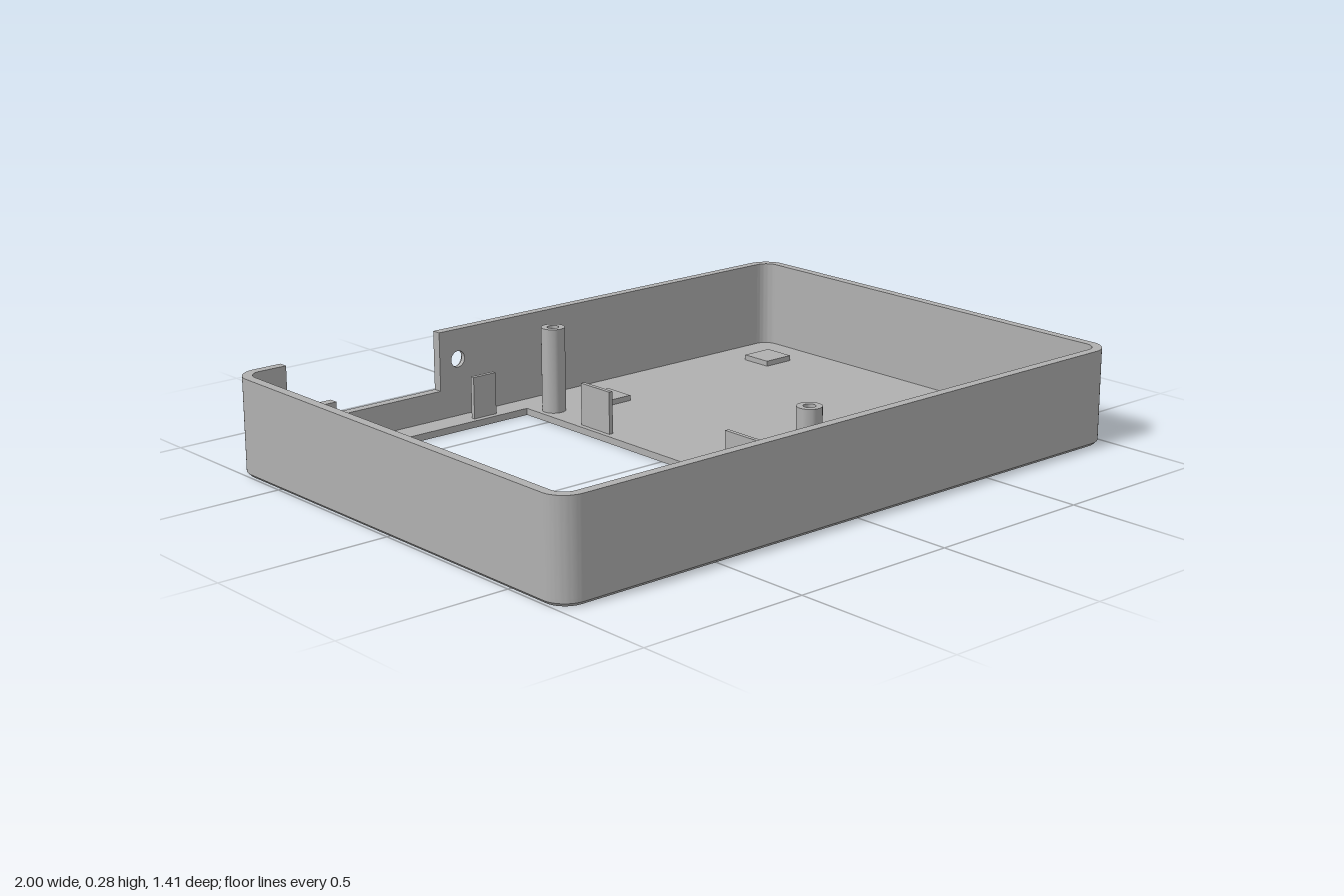
import * as THREE from 'three';
import { toCreasedNormals } from 'three/addons/utils/BufferGeometryUtils.js';

const W = 1, D = 0.705, H = 0.28; // half width, half depth, height
const R = 0.07, T = 0.028;        // corner radius, wall thickness
const FLOOR = 0.02, CHAMFER = 0.01;
const CX = W - R, CZ = D - R;     // corner arc centres
const Q = Math.PI / 2;

export function createModel() {
  const model = new THREE.Group();
  const grey = new THREE.MeshStandardMaterial({ color: 0xb0b0b0 });
  grey.name = 'grey plastic';

  const add = (name, geometry, x = 0, y = 0, z = 0) => {
    const mesh = new THREE.Mesh(geometry, grey);
    mesh.name = name;
    mesh.position.set(x, y, z);
    model.add(mesh);
    return mesh;
  };
  const box = (name, w, h, d, x, y0, z) =>
    add(name, new THREE.BoxGeometry(w, h, d), x, y0 + h / 2, z);
  // Extrude a plan shape (x, -z) upwards
  const extrudeUp = (shape, depth, steps = 1) =>
    new THREE.ExtrudeGeometry(shape, { depth, steps, bevelEnabled: false, curveSegments: 10 }).rotateX(-Q);

  // Floor plate with a window opening
  const plan = new THREE.Shape();
  plan.absarc(CX, CZ, R, 0, Q);
  plan.absarc(-CX, CZ, R, Q, 2 * Q);
  plan.absarc(-CX, -CZ, R, 2 * Q, 3 * Q);
  plan.absarc(CX, -CZ, R, 3 * Q, 4 * Q);
  plan.closePath();
  const opening = new THREE.Path();
  opening.moveTo(-0.93, 0.6).lineTo(-0.07, 0.6).lineTo(-0.07, -0.59).lineTo(-0.93, -0.59).closePath();
  plan.holes.push(opening);
  const floor = extrudeUp(plan, FLOOR, 2);
  // Pull the lowest outer outline inwards to form the chamfer
  const p = floor.attributes.position;
  const k = (R - CHAMFER) / R;
  for (let i = 0; i < p.count; i++) {
    if (p.getY(i) > 0.001) continue;
    const cx = THREE.MathUtils.clamp(p.getX(i), -CX, CX);
    const cz = THREE.MathUtils.clamp(p.getZ(i), -CZ, CZ);
    p.setX(i, cx + (p.getX(i) - cx) * k);
    p.setZ(i, cz + (p.getZ(i) - cz) * k);
  }
  add('floor', toCreasedNormals(floor, 0.5));

  // Front wall, side walls and rounded corners as one U-shaped strip
  const r = R - T;
  const strip = new THREE.Shape();
  strip.absarc(-CX, CZ, R, Q, 2 * Q);
  strip.absarc(-CX, -CZ, R, 2 * Q, 3 * Q);
  strip.absarc(CX, -CZ, R, 3 * Q, 4 * Q);
  strip.absarc(CX, CZ, R, 0, Q);
  strip.absarc(CX, CZ, r, Q, 0, true);
  strip.absarc(CX, -CZ, r, 4 * Q, 3 * Q, true);
  strip.absarc(-CX, -CZ, r, 3 * Q, 2 * Q, true);
  strip.absarc(-CX, CZ, r, 2 * Q, Q, true);
  strip.closePath();
  add('frontAndSideWalls', toCreasedNormals(extrudeUp(strip, H - FLOOR), 0.5), 0, FLOOR, 0);

  // Back wall in two layers: stepped notch and a counterbored hole
  const backLayer = (name, holeRadius, z) => {
    const s = new THREE.Shape([
      [-CX, FLOOR], [CX, FLOOR], [CX, H], [-0.325, H], [-0.325, 0.105],
      [-0.685, 0.105], [-0.685, 0.145], [-0.845, 0.145], [-0.845, H], [-CX, H],
    ].map(([x, y]) => new THREE.Vector2(x, y)));
    const hole = new THREE.Path();
    hole.absarc(-0.26, 0.19, holeRadius, 0, 4 * Q, true);
    s.holes.push(hole);
    const g = new THREE.ExtrudeGeometry(s, { depth: T / 2, bevelEnabled: false, curveSegments: 16 });
    add(name, toCreasedNormals(g, 0.5), 0, 0, z);
  };
  backLayer('backWallOuter', 0.033, -D);
  backLayer('backWallInner', 0.024, -D + T / 2);

  // Hollow screw posts
  const postProfile = [[0.035, FLOOR], [0.035, 0.272], [0.017, 0.272], [0.017, 0.12], [0, 0.12]]
    .map(([x, y]) => new THREE.Vector2(x, y));
  for (const z of [-0.535, 0.53]) {
    add('screwPost', toCreasedNormals(new THREE.LatheGeometry(postProfile, 24), 0.6), -0.02, 0, z);
  }

  // Square pads on the floor
  for (const x of [0.16, 0.82]) {
    for (const z of [-0.51, 0.5]) box('pad', 0.1, 0.016, 0.1, x, FLOOR, z);
  }

  // Upright retaining tabs around the opening
  const tabH = 0.145 - FLOOR;
  for (const side of [-1, 1]) {
    for (const x of [-0.8, -0.21]) box('endTab', 0.08, tabH, 0.013, x, FLOOR, side * 0.624);
    for (const x of [-0.96, -0.048]) box('sideTab', 0.013, tabH, 0.125, x, FLOOR, side * 0.305);
  }

  return model;
}
